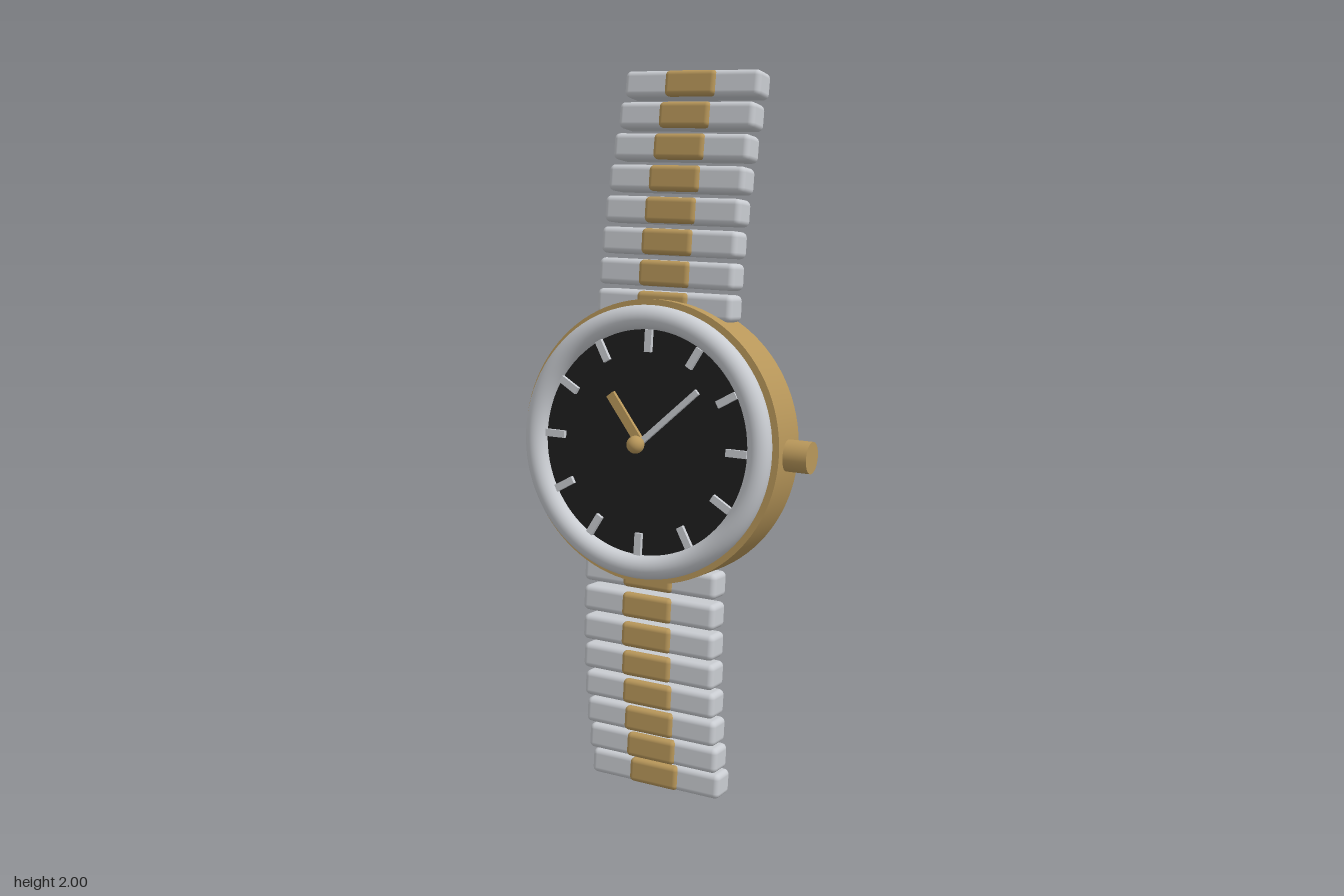
import * as THREE from 'three';
import { RoundedBoxGeometry } from 'three/addons/geometries/RoundedBoxGeometry.js';

const material = (name, color) => {
  const m = new THREE.MeshStandardMaterial({ color });
  m.name = name;
  return m;
};

export function createModel() {
  const silver = material('silver steel', 0xc9ccd1);
  const gold = material('brushed gold', 0xb8975a);
  const black = material('black dial', 0x1e1e1e);

  const model = new THREE.Group();
  model.name = 'wristwatch';
  model.position.x = -0.0325;

  const add = (parent, name, geometry, mat, x = 0, y = 0, z = 0) => {
    const mesh = new THREE.Mesh(geometry, mat);
    mesh.name = name;
    mesh.position.set(x, y, z);
    parent.add(mesh);
    return mesh;
  };

  // Watch head, leaning back slightly; its local +z is the dial axis
  const head = new THREE.Group();
  head.name = 'watchHead';
  head.position.set(0, 1.02, 0.065);
  head.rotation.x = -0.12;
  model.add(head);

  add(head, 'case', new THREE.CylinderGeometry(0.385, 0.385, 0.135, 96).rotateX(Math.PI / 2), gold);
  add(head, 'bezel', new THREE.TorusGeometry(0.3375, 0.0325, 24, 96), silver, 0, 0, 0.0825);
  add(head, 'dial', new THREE.CylinderGeometry(0.315, 0.315, 0.02, 96).rotateX(Math.PI / 2), black, 0, 0, 0.072);
  add(head, 'crown', new THREE.CylinderGeometry(0.0425, 0.0425, 0.1, 32).rotateZ(Math.PI / 2), gold, 0.4, 0, 0);

  // Twelve hour markers
  const markerGeometry = new THREE.BoxGeometry(0.02, 0.06, 0.014).translate(0, 0.275, 0);
  for (let i = 0; i < 12; i++) {
    add(head, 'hourMarker', markerGeometry, silver, 0, 0, 0.087).rotation.z = (i * Math.PI) / 6;
  }

  // Hands pivot at the centre
  const addHand = (name, width, length, depth, mat, z, angle) => {
    const geometry = new THREE.BoxGeometry(width, length, depth).translate(0, length / 2, 0);
    add(head, name, geometry, mat, 0, 0, z).rotation.z = angle;
  };
  addHand('hourHand', 0.025, 0.16, 0.012, gold, 0.103, 0.67);
  addHand('minuteHand', 0.016, 0.225, 0.01, silver, 0.114, -0.82);
  add(head, 'handHub', new THREE.SphereGeometry(0.024, 24, 16), gold, 0, 0, 0.133);

  // Bracelet links: silver bar with a raised gold centre plate on the front
  const barGeometry = new RoundedBoxGeometry(0.409, 0.072, 0.08, 3, 0.016);
  const plateGeometry = new RoundedBoxGeometry(0.154, 0.07, 0.034, 3, 0.014);
  const addLink = (name, y, z, tilt) => {
    const link = new THREE.Group();
    link.name = name;
    link.position.set(0, y, z);
    link.rotation.x = -tilt;
    add(link, 'linkBar', barGeometry, silver);
    add(link, 'linkCentre', plateGeometry, gold, 0, 0, 0.031);
    model.add(link);
  };
  for (let i = 0; i < 8; i++) {
    addLink('upperLink', 1.386 + 0.0829 * i, 0.003 - 0.01 * i - 0.002 * i * i, 0.1 + 0.011 * i);
    addLink('lowerLink', 0.642 - 0.0857 * i, 0.092 + 0.0105 * i - 0.0021 * i * i, 0.12);
  }

  return model;
}
